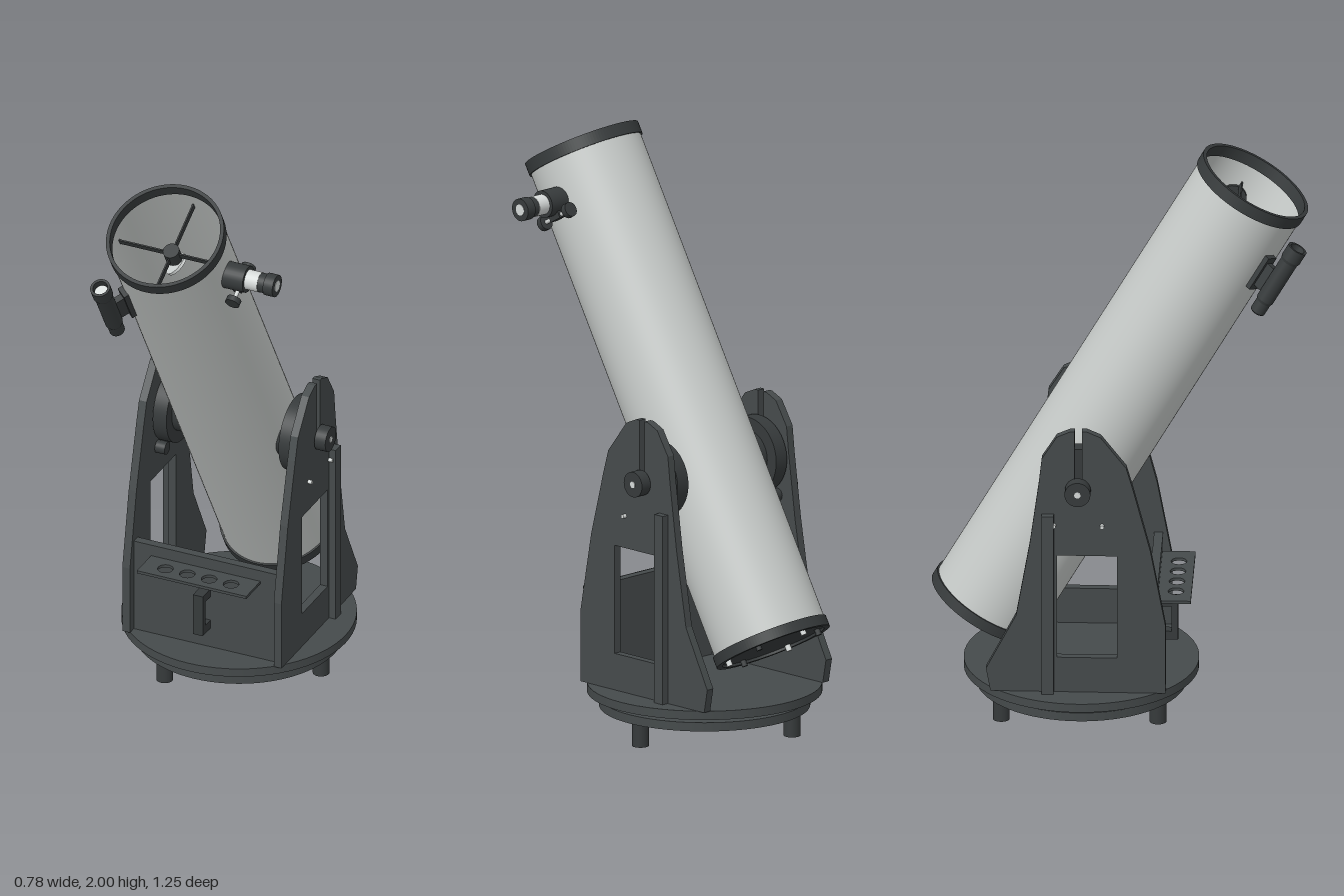
import * as THREE from 'three';

const mat = (name, color, side = THREE.FrontSide) => {
  const m = new THREE.MeshStandardMaterial({ color, side });
  m.name = name;
  return m;
};

export function createModel() {
  const board = mat('charcoal board', 0x454a4b);
  const black = mat('black fittings', 0x363a3b);
  const paint = mat('pale grey tube paint', 0xc6cac8, THREE.DoubleSide);
  const silver = mat('silver metal', 0xd6dad9);
  const root = new THREE.Group();
  root.name = 'telescope';
  const PY = 0.9, PZ = -0.13; // tilt pivot

  const add = (parent, name, geo, material, x = 0, y = 0, z = 0) => {
    const m = new THREE.Mesh(geo, material);
    m.name = name;
    m.position.set(x, y, z);
    parent.add(m);
    return m;
  };
  const box = (p, name, m, w, h, d, x, y, z) => add(p, name, new THREE.BoxGeometry(w, h, d), m, x, y, z);
  // cylinder centred on a point, along the chosen axis
  const cyl = (p, name, m, r, len, axis, x, y, z, seg = 32) => {
    const g = new THREE.CylinderGeometry(r, r, len, seg);
    if (axis === 'x') g.rotateZ(-Math.PI / 2);
    if (axis === 'z') g.rotateX(Math.PI / 2);
    return add(p, name, g, m, x, y, z);
  };
  // hollow ring with a square section between y0 and y1
  const ring = (p, name, m, ri, ro, y0, y1, x = 0, z = 0, seg = 64) => {
    const s = new THREE.Shape().absarc(0, 0, ro, 0, Math.PI * 2);
    s.holes.push(new THREE.Path().absarc(0, 0, ri, 0, Math.PI * 2, true));
    const g = new THREE.ExtrudeGeometry(s, { depth: y1 - y0, bevelEnabled: false, curveSegments: seg });
    return add(p, name, g.rotateX(-Math.PI / 2), m, x, y0, z);
  };

  // Turntable base
  const base = new THREE.Group();
  base.name = 'base';
  root.add(base);
  cyl(base, 'upperDisc', board, 0.39, 0.03, 'y', 0, 0.15, PZ, 72);
  cyl(base, 'lowerDisc', board, 0.35, 0.03, 'y', 0, 0.1, PZ, 72);
  for (let i = 0; i < 3; i++) {
    const a = i * Math.PI * 2 / 3, x = 0.3 * Math.cos(a), z = PZ + 0.3 * Math.sin(a);
    cyl(base, 'foot', black, 0.028, 0.09, 'y', x, 0.045, z);
    cyl(base, 'glidePad', black, 0.026, 0.022, 'y', x, 0.125, z);
  }
  cyl(base, 'pivotBolt', silver, 0.009, 0.08, 'y', 0, 0.097, PZ, 16);
  cyl(base, 'pivotNut', silver, 0.02, 0.014, 'y', 0, 0.078, PZ, 6);

  // Side panels with a window and a slot open at the top
  const outline = [[0.16, 0.165], [0.16, 0.41], [0.11, 0.68], [0.053, 0.9], [0.03, 0.98], [-0.055, 1.09],
    [-0.1, 1.11], [-0.117, 1.11], [-0.117, 0.9], [-0.141, 0.9], [-0.141, 1.11], [-0.155, 1.11], [-0.2, 1.09],
    [-0.25, 1.01], [-0.26, 0.92], [-0.29, 0.7], [-0.335, 0.44], [-0.435, 0.245], [-0.42, 0.165]];
  const side = new THREE.Shape(outline.map(([z, y]) => new THREE.Vector2(z, y)));
  side.holes.push(new THREE.Path([[0, 0.29], [-0.2, 0.29], [-0.2, 0.66], [0, 0.66]]
    .map(([z, y]) => new THREE.Vector2(z, y))));
  const sideGeo = new THREE.ExtrudeGeometry(side, { depth: 0.028, bevelEnabled: false })
    .translate(0, 0, -0.014).rotateY(-Math.PI / 2);
  for (const s of [1, -1]) {
    add(root, 'sidePanel', sideGeo, board, s * 0.277);
    box(root, 'sideRib', board, 0.025, 0.645, 0.04, s * 0.303, 0.4875, -0.23);
    // tilt bearing, clamp knob and rollers
    cyl(root, 'bearingHub', black, 0.088, 0.04, 'x', s * 0.19, PY, PZ, 48);
    cyl(root, 'bearingDisc', black, 0.13, 0.05, 'x', s * 0.23, PY, PZ, 64);
    cyl(root, 'bearingShaft', silver, 0.011, 0.087, 'x', s * 0.294, PY, PZ, 20);
    cyl(root, 'clampKnob', black, 0.043, 0.04, 'x', s * 0.315, PY, PZ);
    for (const dz of [0.08, -0.08]) {
      cyl(root, 'roller', black, 0.022, 0.036, 'x', s * 0.243, 0.77, PZ + dz);
      cyl(root, 'rollerBolt', silver, 0.007, 0.05, 'x', s * 0.28, 0.77, PZ + dz, 12);
    }
  }

  // Front board, carrying handle and eyepiece tray
  box(root, 'frontBoard', board, 0.526, 0.335, 0.03, 0, 0.3325, 0.115);
  box(root, 'handleGrip', black, 0.036, 0.15, 0.022, 0, 0.312, 0.18);
  for (const y of [0.252, 0.372]) box(root, 'handlePost', black, 0.036, 0.03, 0.045, 0, y, 0.15);
  const tray = new THREE.Shape([[-0.2, -0.24], [0.2, -0.24], [0.2, -0.13], [-0.2, -0.13]]
    .map(([x, y]) => new THREE.Vector2(x, y)));
  for (let i = 0; i < 4; i++) {
    tray.holes.push(new THREE.Path().absarc(-0.12 + i * 0.08, -0.188, 0.026, 0, Math.PI * 2, true));
  }
  add(root, 'eyepieceTray', new THREE.ExtrudeGeometry(tray, { depth: 0.01, bevelEnabled: false, curveSegments: 20 })
    .rotateX(-Math.PI / 2), board, 0, 0.45, 0);

  // Optical tube, built upright about its pivot and then tilted forward
  const tube = new THREE.Group();
  tube.name = 'opticalTube';
  tube.position.set(0, PY, PZ);
  tube.rotation.x = Math.PI / 6;
  root.add(tube);
  add(tube, 'tubeWall', new THREE.CylinderGeometry(0.194, 0.194, 1.77, 80, 1, true), paint, 0, 0.255, 0);
  ring(tube, 'topRim', black, 0.187, 0.2, 1.113, 1.155);
  ring(tube, 'bottomRim', black, 0.18, 0.2, -0.645, -0.608);
  cyl(tube, 'rearCell', black, 0.19, 0.016, 'y', 0, -0.628, 0, 64);
  cyl(tube, 'primaryMirror', silver, 0.175, 0.03, 'y', 0, -0.57, 0, 64);
  for (let i = 0; i < 6; i++) {
    const a = i * Math.PI / 3 + Math.PI / 6;
    cyl(tube, 'cellBolt', i % 2 ? black : silver, 0.01, 0.022, 'y', 0.16 * Math.cos(a), -0.646, 0.16 * Math.sin(a), 12);
  }

  // Spider vanes and diagonal mirror
  box(tube, 'spiderVane', black, 0.386, 0.022, 0.005, 0, 1.04, 0);
  box(tube, 'spiderVane', black, 0.005, 0.022, 0.386, 0, 1.04, 0);
  cyl(tube, 'spiderHub', black, 0.028, 0.05, 'y', 0, 1.035, 0);
  cyl(tube, 'mirrorStem', black, 0.01, 0.05, 'y', 0, 0.995, 0, 16);
  const diagonal = cyl(tube, 'diagonalMirror', silver, 0.04, 0.01, 'y', 0, 0.975, 0);
  diagonal.scale.x = 1.35;
  diagonal.rotation.z = Math.PI / 4;

  // Focuser and eyepiece
  const FY = 0.987;
  cyl(tube, 'focuserBody', black, 0.046, 0.085, 'x', 0.223, FY, 0);
  cyl(tube, 'drawtube', silver, 0.034, 0.05, 'x', 0.287, FY, 0);
  cyl(tube, 'eyepieceBarrel', black, 0.033, 0.03, 'x', 0.323, FY, 0);
  cyl(tube, 'eyepieceCup', black, 0.038, 0.035, 'x', 0.353, FY, 0);
  cyl(tube, 'eyeLens', silver, 0.019, 0.004, 'x', 0.37, FY, 0);
  box(tube, 'focuserBracket', black, 0.03, 0.05, 0.05, 0.222, 0.95, 0);
  cyl(tube, 'focusShaft', silver, 0.007, 0.13, 'z', 0.225, 0.935, 0, 16);
  for (const s of [1, -1]) cyl(tube, 'focusKnob', black, 0.025, 0.02, 'z', 0.225, 0.935, s * 0.066);

  // Finder scope on its bracket; local z points out from the tube
  const finder = new THREE.Group();
  finder.name = 'finderScope';
  finder.rotation.y = -Math.atan2(0.17, 0.21);
  tube.add(finder);
  box(finder, 'finderShoe', black, 0.045, 0.13, 0.03, 0, 0.93, 0.195);
  box(finder, 'finderStalk', black, 0.024, 0.09, 0.05, 0, 0.93, 0.225);
  const profile = [[0, 0.815], [0.02, 0.815], [0.026, 0.82], [0.026, 0.86], [0.03, 0.87], [0.03, 1.03],
    [0.034, 1.04], [0.034, 1.085], [0.025, 1.085], [0.025, 1.06], [0, 1.06]];
  // separate segments keep the steps crisp
  for (let i = 0; i < profile.length - 1; i++) {
    const pts = [profile[i], profile[i + 1]].map(([r, y]) => new THREE.Vector2(r, y));
    add(finder, 'finderBody', new THREE.LatheGeometry(pts, 32), black, 0, 0, 0.268);
  }
  cyl(finder, 'finderLens', silver, 0.022, 0.004, 'y', 0, 1.062, 0.268);
  cyl(finder, 'finderEyeLens', silver, 0.012, 0.004, 'y', 0, 0.815, 0.268, 20);

  return root;
}
